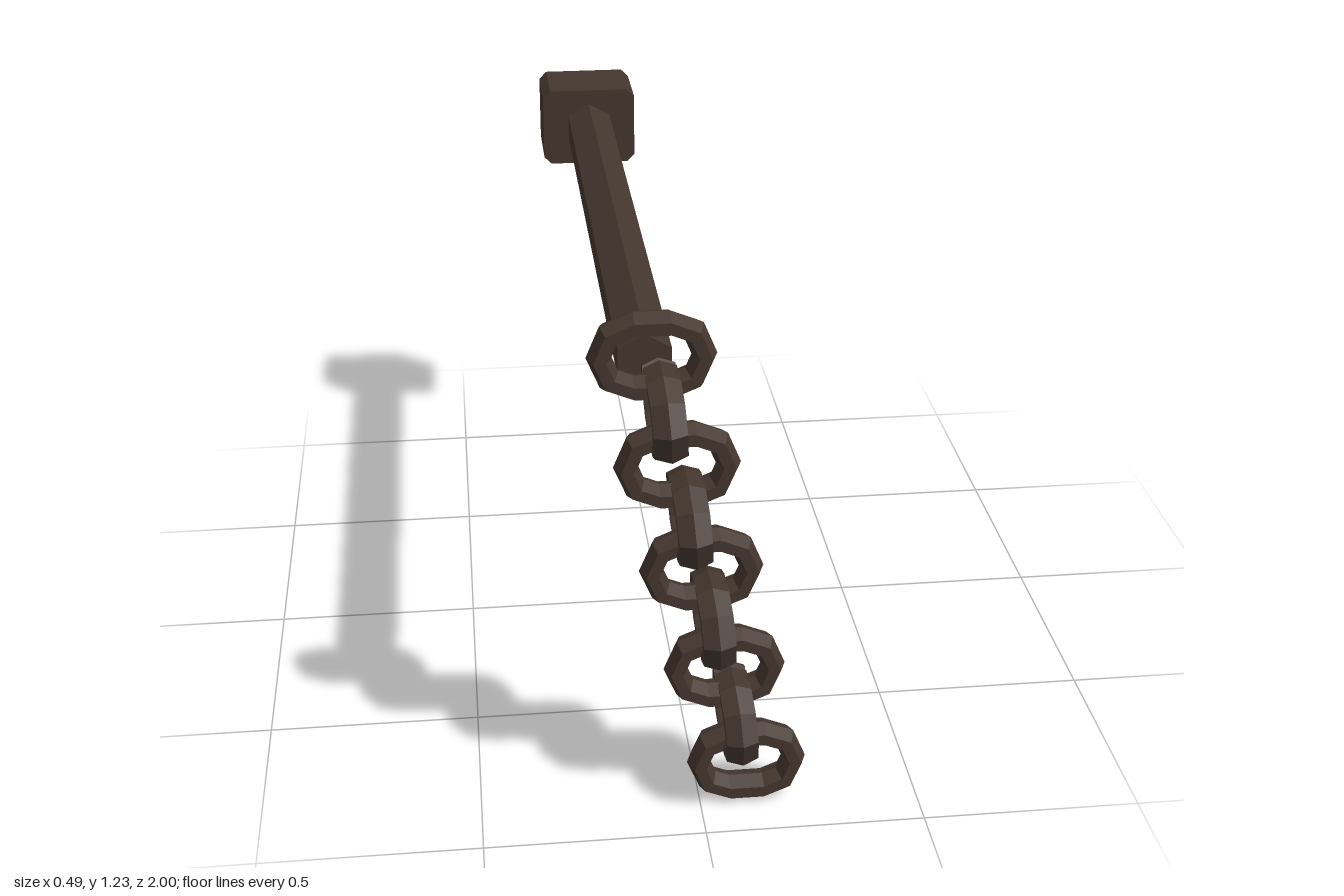
import * as THREE from 'three';

const iron = new THREE.MeshStandardMaterial({ color: 0x44362e });
iron.name = 'darkIron';

const HALF = 0.038, ARC = 0.0715;   // link centre line: half straight length, end radius
const BAR = 0.027, DEPTH = 0.041;   // link bar radii, in and across its plane
const SIDES = 6;

// Low-poly chain link in the xy plane; a split link has a narrow cut at its upper right
function linkGeometry(split) {
  const path = [];
  for (let i = 0; i < 10; i++) {
    const right = i < 5;
    const a = Math.PI / 2 - (right ? i : i - 1) * Math.PI / 4;
    const nx = Math.cos(a), ny = Math.sin(a);
    path.push({ x: (right ? HALF : -HALF) + ARC * nx, y: ARC * ny, nx, ny });
  }
  if (split) {
    path[0] = { x: 0.058, y: 0.066, nx: 0.45, ny: 0.89 };
    path.push({ x: 0.034, y: ARC, nx: 0.2, ny: 0.98 });
  } else path.push(path[0]);

  const rings = path.map(p => Array.from({ length: SIDES }, (_, j) => {
    const t = j / SIDES * Math.PI * 2, r = BAR * Math.cos(t);
    return [p.x + p.nx * r, p.y + p.ny * r, DEPTH * Math.sin(t)];
  }));
  const pos = [];
  const tri = (a, b, c) => pos.push(...a, ...b, ...c);
  for (let i = 0; i < rings.length - 1; i++) {
    for (let j = 0; j < SIDES; j++) {
      const k = (j + 1) % SIDES, p = rings[i], q = rings[i + 1];
      tri(p[j], p[k], q[j]);
      tri(p[k], q[k], q[j]);
    }
  }
  if (split) {
    const s = rings[0], e = rings[rings.length - 1];
    for (let j = 1; j < SIDES - 1; j++) {
      tri(s[0], s[j + 1], s[j]);
      tri(e[0], e[j], e[j + 1]);
    }
  }
  // Make sure the faces point outward
  const n = new THREE.Vector3(), u = new THREE.Vector3(), v = new THREE.Vector3(), o = new THREE.Vector3();
  let volume = 0;
  for (let i = 0; i < pos.length; i += 9) {
    o.fromArray(pos, i); u.fromArray(pos, i + 3); v.fromArray(pos, i + 6);
    volume += o.dot(n.crossVectors(u, v));
  }
  if (volume < 0) {
    for (let i = 0; i < pos.length; i += 9) {
      for (let c = 0; c < 3; c++) [pos[i + 3 + c], pos[i + 6 + c]] = [pos[i + 6 + c], pos[i + 3 + c]];
    }
  }
  const g = new THREE.BufferGeometry();
  g.setAttribute('position', new THREE.Float32BufferAttribute(pos, 3));
  g.computeVertexNormals();
  return g;
}

function add(parent, name, geometry, x, y, z) {
  const mesh = new THREE.Mesh(geometry, iron);
  mesh.name = name;
  mesh.position.set(x, y, z);
  parent.add(mesh);
  return mesh;
}

export function createModel() {
  const model = new THREE.Group();
  model.name = 'wallBarWithChain';

  // Hexagonal bar running from the block to the chain
  const rod = new THREE.CylinderGeometry(0.0665, 0.0665, 1.585, 6).toNonIndexed();
  rod.rotateX(Math.PI / 2);
  rod.computeVertexNormals();
  add(model, 'bar', rod, -0.112, 1.066, -0.0275);

  // End block with chamfered long edges
  const w = 0.128, h = 0.106, c = 0.02;
  const outline = new THREE.Shape([
    [w - c, -h], [w, -h + c], [w, h - c], [w - c, h],
    [-w + c, h], [-w, h - c], [-w, -h + c], [-w + c, -h],
  ].map(p => new THREE.Vector2(...p)));
  const block = new THREE.ExtrudeGeometry(outline, { depth: 0.19, bevelEnabled: false });
  add(model, 'endBlock', block, -0.112, 1.066, -1);

  // Slanting chain: wide links alternate with links turned a quarter
  const chain = new THREE.Group();
  chain.name = 'chain';
  model.add(chain);
  const closed = linkGeometry(false), cut = linkGeometry(true);
  for (let i = 0; i < 9; i++) {
    const turned = i % 2 === 1;
    const link = add(chain, turned ? 'turnedLink' : 'flatLink',
      i === 1 || i === 7 ? cut : closed, -0.108 + i * 0.027, 1.13 - i * 0.1288, 0.865);
    if (turned) {
      link.rotation.order = 'ZYX';
      link.rotation.set(0, Math.PI / 2, 0.07);
    }
  }
  return model;
}
